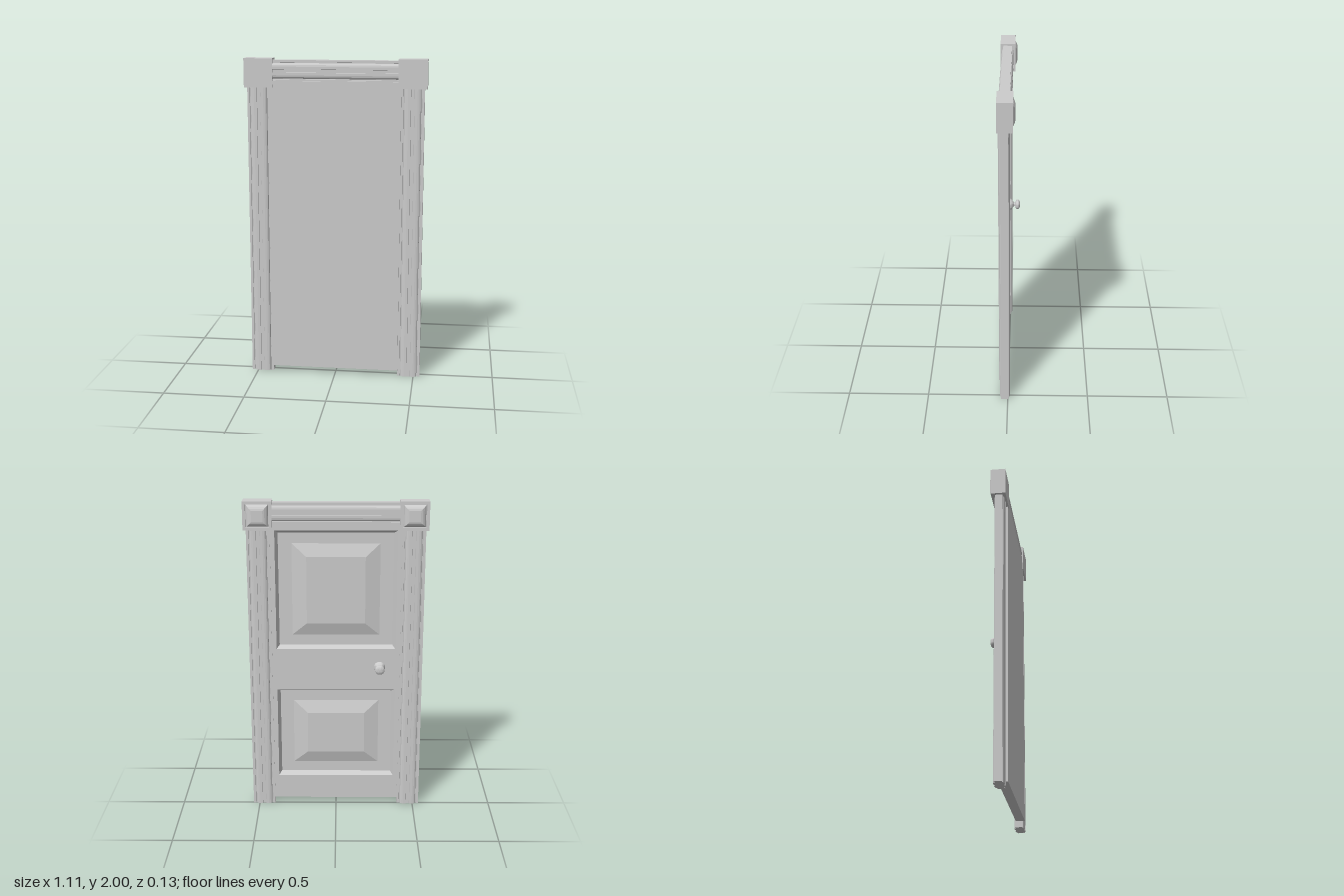
import * as THREE from 'three';
import { toCreasedNormals } from 'three/addons/utils/BufferGeometryUtils.js';

const material = new THREE.MeshStandardMaterial({ color: 0xcccccc });

function add(parent, name, geometry, x = 0, y = 0, z = 0) {
  const mesh = new THREE.Mesh(geometry, material);
  mesh.name = name;
  mesh.position.set(x, y, z);
  parent.add(mesh);
  return mesh;
}

// Stack of rectangles [halfWidth, halfHeight, z] joined by sloping bands, last one capped, facing +z
function rectLoft(rings) {
  const corners = rings.map(([w, h, z]) => [[-w, -h, z], [w, -h, z], [w, h, z], [-w, h, z]]);
  const pos = [];
  const quad = (a, b, c, d) => pos.push(...a, ...b, ...c, ...a, ...c, ...d);
  for (let i = 0; i < corners.length - 1; i++) {
    for (let k = 0; k < 4; k++) {
      const n = (k + 1) % 4;
      quad(corners[i][k], corners[i][n], corners[i + 1][n], corners[i + 1][k]);
    }
  }
  quad(...corners[corners.length - 1]);
  const geometry = new THREE.BufferGeometry();
  geometry.setAttribute('position', new THREE.Float32BufferAttribute(pos, 3));
  geometry.computeVertexNormals();
  return geometry;
}

function rectPath(w, h, cy = 0, Type = THREE.Path) {
  return new Type([[-w, -h], [w, -h], [w, h], [-w, h]].map(([x, y]) => new THREE.Vector2(x, cy + y)));
}

// Moulding with fillets, grooves and a shallow centre bead on both faces, running along y
function moulding(width, depth, length) {
  const side = [
    [-0.5, 0.36], [-0.4, 0.36], [-0.39, 0.26], [-0.36, 0.26], [-0.34, 0.4], [-0.28, 0.47],
    [-0.2, 0.5], [-0.08, 0.5], [-0.07, 0.42], [0.07, 0.42], [0.08, 0.5], [0.2, 0.5],
    [0.28, 0.47], [0.34, 0.4], [0.36, 0.26], [0.39, 0.26], [0.4, 0.36], [0.5, 0.36],
  ];
  const back = side.map(([x, y]) => [-x, -y]);
  const shape = new THREE.Shape([...side, ...back].map(([x, y]) => new THREE.Vector2(x * width, y * depth)));
  const geometry = new THREE.ExtrudeGeometry(shape, { depth: length, bevelEnabled: false });
  geometry.translate(0, 0, -length / 2);
  return geometry.rotateX(-Math.PI / 2);
}

export function createModel() {
  const model = new THREE.Group();
  model.name = 'door';
  // The panelled face is built towards +z and then turned to the back
  const body = new THREE.Group();
  body.name = 'doorAndFrame';
  body.rotation.y = Math.PI;
  model.add(body);

  // Door leaf: plain slab with a frame holding two raised panels
  const panels = [{ name: 'lowerPanel', y: 0.5, h: 0.3 }, { name: 'upperPanel', y: 1.445, h: 0.375 }];
  add(body, 'doorSlab', new THREE.BoxGeometry(0.8, 1.825, 0.015), 0, 0.9525, -0.0495);
  const frame = rectPath(0.4, 0.9125, 0.9525, THREE.Shape);
  panels.forEach((p) => frame.holes.push(rectPath(0.37, p.h, p.y)));
  add(body, 'doorFrame', new THREE.ExtrudeGeometry(frame, { depth: 0.042, bevelEnabled: false }), 0, 0, -0.042);
  panels.forEach((p) => {
    add(body, p.name, rectLoft([
      [0.37, p.h, 0], [0.352, p.h - 0.018, -0.033],
      [0.27, p.h - 0.085, -0.033], [0.18, p.h - 0.165, -0.008],
    ]), 0, p.y, 0);
  });

  // Knob with its flared collar
  const knobProfile = [
    [0.036, 0], [0.034, 0.007], [0.02, 0.02], [0.012, 0.027], [0.012, 0.032], [0.022, 0.036],
    [0.03, 0.043], [0.031, 0.049], [0.029, 0.056], [0.022, 0.062], [0.012, 0.065], [0, 0.066],
  ].map(([r, h]) => new THREE.Vector2(r, h));
  const knob = new THREE.LatheGeometry(knobProfile, 24).rotateX(Math.PI / 2);
  add(body, 'knob', toCreasedNormals(knob, 0.6), 0.273, 0.95, 0);

  // Side posts and corner blocks
  const rim = rectPath(0.0875, 0.0875, 0, THREE.Shape);
  rim.holes.push(rectPath(0.07, 0.07));
  const rimGeometry = new THREE.ExtrudeGeometry(rim, { depth: 0.014, bevelEnabled: false });
  const pillow = rectLoft([
    [0.066, 0.066, 0.016], [0.062, 0.062, 0.026], [0.055, 0.055, 0.033],
    [0.045, 0.045, 0.039], [0.034, 0.034, 0.042],
  ]);
  for (const [s, side] of [[-1, 'left'], [1, 'right']]) {
    add(body, side + 'Post', moulding(0.142, 0.063, 1.83), s * 0.469, 0.915, -0.0185);
    add(body, side + 'CornerBlock', new THREE.BoxGeometry(0.175, 0.175, 0.077), s * 0.469, 1.9125, -0.0225);
    add(body, side + 'BlockRim', rimGeometry, s * 0.469, 1.9125, 0.016);
    add(body, side + 'BlockPillow', pillow, s * 0.469, 1.9125, 0);
  }

  // Head moulding between the blocks
  const head = moulding(0.13, 0.074, 0.78).rotateZ(Math.PI / 2);
  add(body, 'headMoulding', head, 0, 1.925, -0.017);
  return model;
}
